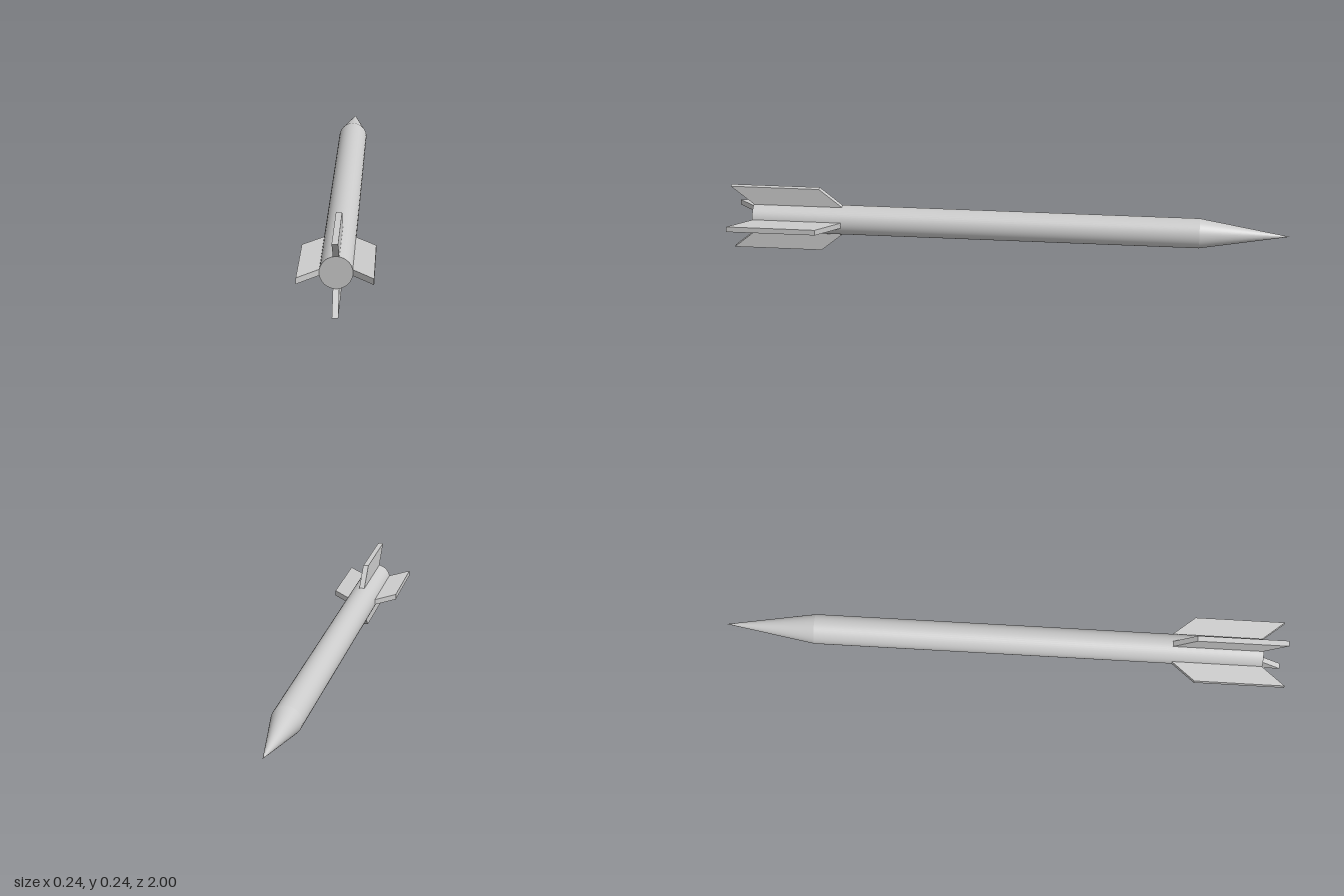
import * as THREE from 'three';

const AXIS_Y = 0.12, RADIUS = 0.053, TAIL_Z = 0.92, SHOULDER_Z = -0.68, TIP_Z = -1;
const FIN_THICKNESS = 0.02;

export function createModel() {
  const model = new THREE.Group();
  model.name = 'rocket';
  const material = new THREE.MeshStandardMaterial({ color: 0xcccccc });

  const add = (name, geometry) => {
    const mesh = new THREE.Mesh(geometry, material);
    mesh.name = name;
    mesh.position.y = AXIS_Y;
    model.add(mesh);
    return mesh;
  };

  // Long cylindrical body with a flat tail, lying along z
  const bodyLength = TAIL_Z - SHOULDER_Z;
  const body = new THREE.CylinderGeometry(RADIUS, RADIUS, bodyLength, 48);
  body.rotateX(-Math.PI / 2).translate(0, 0, (TAIL_Z + SHOULDER_Z) / 2);
  add('body', body);

  // Pointed nose cone toward -z
  const noseLength = SHOULDER_Z - TIP_Z;
  const nose = new THREE.ConeGeometry(RADIUS, noseLength, 48, 1, true);
  nose.rotateX(-Math.PI / 2).translate(0, 0, (SHOULDER_Z + TIP_Z) / 2);
  add('noseCone', nose);

  // Swept fin outline: x is distance from the axis, y is position along z
  const outline = new THREE.Shape([
    [0.045, 0.59], [0.12, 0.68], [0.12, 1.0], [0.045, 0.91],
  ].map(([r, z]) => new THREE.Vector2(r, z)));
  const fin = new THREE.ExtrudeGeometry(outline, { depth: FIN_THICKNESS, bevelEnabled: false });
  fin.translate(0, 0, -FIN_THICKNESS / 2).rotateX(Math.PI / 2);

  // Four fins spaced evenly around the tail
  ['leftFin', 'topFin', 'rightFin', 'bottomFin'].forEach((name, i) => {
    add(name, fin).rotation.z = i * Math.PI / 2;
  });

  return model;
}
